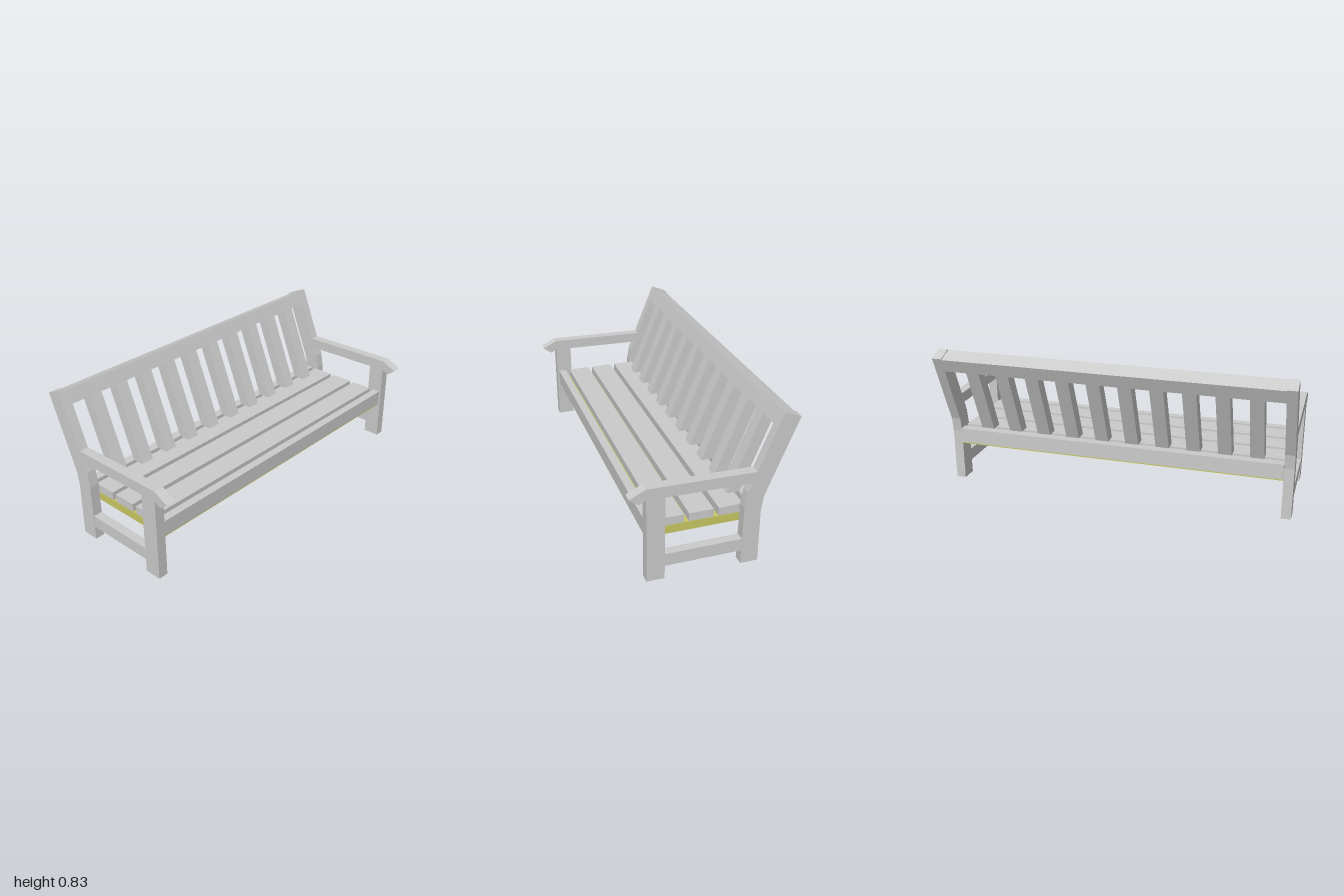
import * as THREE from 'three';

const wood = new THREE.MeshStandardMaterial({ color: 0xcccccc });
const panelColor = new THREE.MeshStandardMaterial({ color: 0xc8c864 });

// Part with a side profile of [z, y] points, given a width along x
function profile(name, points, width, x = 0, material = wood) {
  const shape = new THREE.Shape(points.map(([z, y]) => new THREE.Vector2(z, y)));
  const geo = new THREE.ExtrudeGeometry(shape, { depth: width, bevelEnabled: false });
  geo.translate(0, 0, -width / 2).rotateY(-Math.PI / 2);
  const mesh = new THREE.Mesh(geo, material);
  mesh.name = name;
  mesh.position.x = x;
  return mesh;
}

// Straight bar between two heights and two depths
function bar(name, z0, z1, y0, y1, width, x = 0, material = wood) {
  const mesh = new THREE.Mesh(new THREE.BoxGeometry(width, y1 - y0, z1 - z0), material);
  mesh.name = name;
  mesh.position.set(x, (y0 + y1) / 2, (z0 + z1) / 2);
  return mesh;
}

export function createModel() {
  const bench = new THREE.Group();
  bench.name = 'bench';

  // End frames: legs, bent back post, armrest, stretcher
  const thick = 0.055;
  for (const side of [1, -1]) {
    const x = side * (1 - thick / 2);
    const frame = new THREE.Group();
    frame.name = side > 0 ? 'leftEndFrame' : 'rightEndFrame';
    frame.add(
      bar('frontLeg', 0.252, 0.347, 0.005, 0.477, thick, x),
      profile('backPost', [
        [-0.154, 0], [-0.249, 0], [-0.25, 0.3], [-0.262, 0.382], [-0.43, 0.795],
        [-0.343, 0.83], [-0.22, 0.527], [-0.175, 0.415], [-0.16, 0.33],
      ], thick, x),
      profile('armrest', [
        [0.432, 0.495], [0.385, 0.459], [0.347, 0.477], [-0.195, 0.467],
        [-0.22, 0.527], [0.347, 0.537],
      ], thick, x),
      bar('stretcher', -0.16, 0.255, 0.077, 0.147, 0.05, x),
    );
    bench.add(frame);
  }

  // Seat panel with slats and rails on top
  const span = 1.888;
  bench.add(bar('seatPanel', -0.256, 0.334, 0.228, 0.275, 1.89, 0, panelColor));
  for (let i = 0; i < 3; i++) {
    const z = 0.2 - i * 0.1565;
    bench.add(bar('seatSlat', z - 0.065, z + 0.065, 0.273, 0.321, span));
  }
  bench.add(
    bar('frontRail', 0.291, 0.336, 0.235, 0.321, span),
    bar('backRail', -0.258, -0.2045, 0.235, 0.321, span),
  );

  // Tilted top rail
  bench.add(profile('topRail', [
    [-0.311, 0.75], [-0.341, 0.825], [-0.428, 0.79], [-0.398, 0.716],
  ], 1.89));

  // Tilted back slats
  for (let i = 0; i < 10; i++) {
    bench.add(profile('backSlat', [
      [-0.137, 0.32], [-0.312, 0.752], [-0.372, 0.728], [-0.207, 0.32],
    ], 0.076, (i - 4.5) * 0.1765));
  }

  return bench;
}
